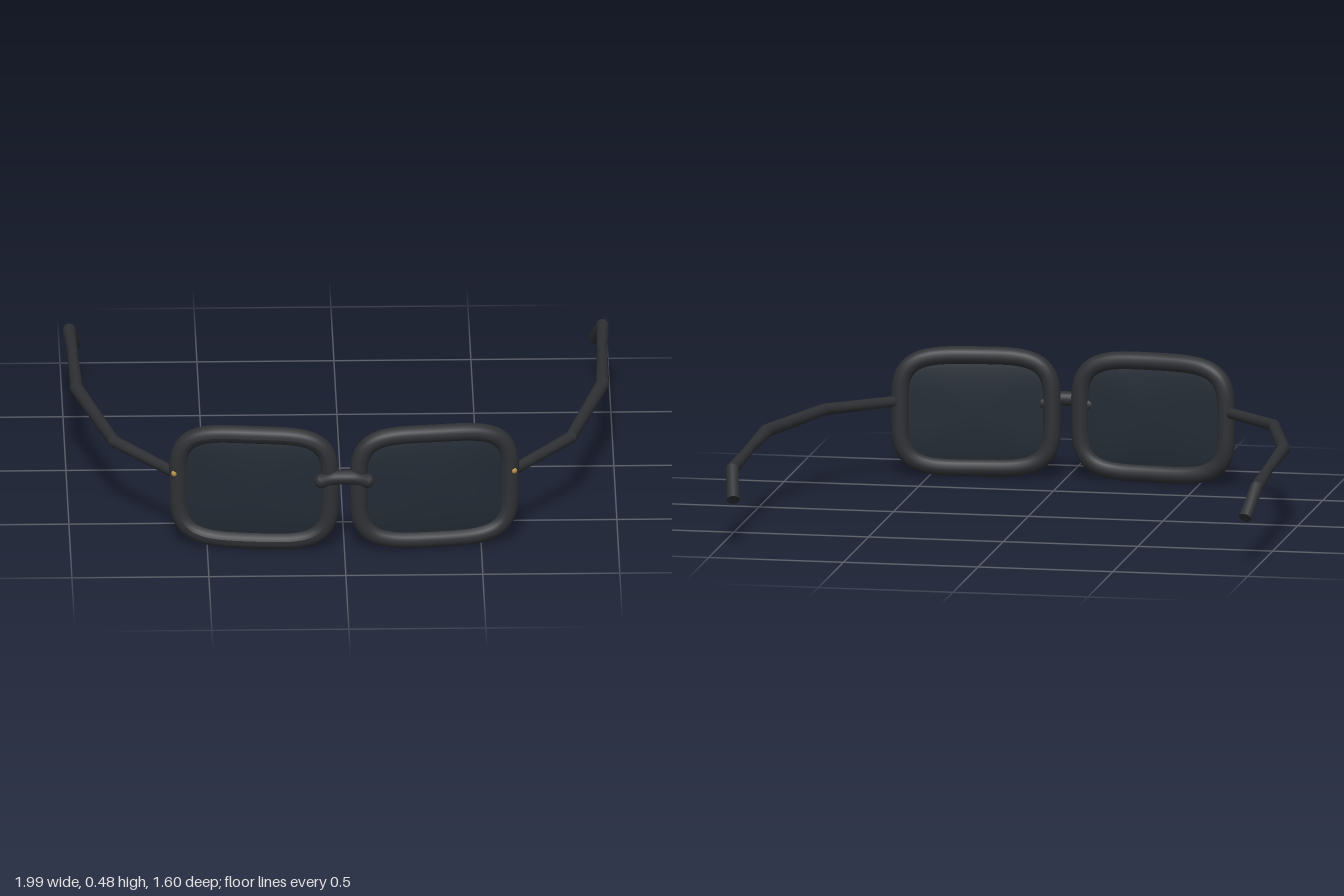
import * as THREE from 'three';

const frameMat = new THREE.MeshStandardMaterial({ color: 0x2e3034 });
const lensMat = new THREE.MeshStandardMaterial({ color: 0x222a34 });
const goldMat = new THREE.MeshStandardMaterial({ color: 0xb08a45 });

const CX = 0.329, CY = 0.243, HALF_W = 0.277, HALF_H = 0.208, RIM_R = 0.033;
const V = (x, y, z) => new THREE.Vector3(x, y, z);

// Wrap of the front around the face
const wrapZ = (x) => 0.754 - 0.17 * x * x;

// Point on (or, with rho < 1, inside) the rounded-rectangle outline of a lens
function outline(angle, rho = 1) {
  const c = Math.cos(angle), s = Math.sin(angle), n = 4;
  const r = rho / Math.pow(Math.abs(c) ** n + Math.abs(s) ** n, 1 / n);
  const x = CX + HALF_W * r * c;
  return V(x, CY + HALF_H * r * s, wrapZ(x));
}

function add(parent, name, geometry, material) {
  const mesh = new THREE.Mesh(geometry, material);
  mesh.name = name;
  parent.add(mesh);
  return mesh;
}

// Straight round segments with mitred joints; stations are [x, y, z, radius]
function mitredRod(stations, sides = 12) {
  const pts = stations.map((s) => V(s[0], s[1], s[2]));
  const dir = (i) => pts[i + 1].clone().sub(pts[i]).normalize();
  const last = pts.length - 1;
  const rings = pts.map((p, i) => {
    const a = dir(Math.max(i - 1, 0)), b = dir(Math.min(i, last - 1));
    const t = a.clone().add(b).normalize();
    const u = V(0, 1, 0).cross(t).normalize();
    const v = t.clone().cross(u);
    return Array.from({ length: sides }, (_, k) => {
      const w = (k / sides) * Math.PI * 2, r = stations[i][3];
      return p.clone().addScaledVector(u, r * Math.cos(w)).addScaledVector(v, r * Math.sin(w));
    });
  });
  const verts = [], index = [];
  for (let i = 0; i < last; i++) {
    const base = verts.length;
    verts.push(...rings[i], ...rings[i + 1]);
    for (let k = 0; k < sides; k++) {
      const a = base + k, b = base + ((k + 1) % sides);
      index.push(a, b, b + sides, a, b + sides, a + sides);
    }
  }
  // Flat end caps
  for (const end of [0, last]) {
    const base = verts.length;
    verts.push(...rings[end]);
    for (let k = 1; k < sides - 1; k++) {
      if (end) index.push(base, base + k, base + k + 1);
      else index.push(base, base + k + 1, base + k);
    }
  }
  const g = new THREE.BufferGeometry().setFromPoints(verts);
  g.setIndex(index);
  g.computeVertexNormals();
  return g;
}

// Thin biconvex lens: a sphere squashed into the outline and the wrap
function lensGeometry() {
  const g = new THREE.SphereGeometry(1, 64, 24).rotateX(Math.PI / 2);
  const pos = g.attributes.position;
  for (let i = 0; i < pos.count; i++) {
    const x = pos.getX(i), y = pos.getY(i);
    const p = outline(Math.atan2(y, x), Math.hypot(x, y));
    pos.setXYZ(i, p.x, p.y, p.z + 0.02 * pos.getZ(i));
  }
  g.computeVertexNormals();
  return g;
}

// Mirror a geometry across x = 0, keeping its faces outward
function mirrored(geometry) {
  const g = geometry.clone().scale(-1, 1, 1);
  const idx = g.index;
  for (let i = 0; i < idx.count; i += 3) {
    const a = idx.getX(i);
    idx.setX(i, idx.getX(i + 1));
    idx.setX(i + 1, a);
  }
  g.computeVertexNormals();
  return g;
}

export function createModel() {
  const model = new THREE.Group();
  model.name = 'glasses';

  // Rim, lens, temple arm and hinge screw, built for the left side
  const rimPath = new THREE.CatmullRomCurve3(
    Array.from({ length: 64 }, (_, i) => outline((i / 64) * Math.PI * 2)), true);
  const temple = mitredRod([
    [0.612, 0.28, 0.69, 0.02],
    [0.835, 0.293, 0.41, 0.022],
    [0.96, 0.299, -0.07, 0.025],
    [0.966, 0.288, -0.4, 0.019],
    [0.973, 0.272, -0.675, 0.024],
    [0.95, 0.177, -0.78, 0.024],
  ]);
  const parts = [
    ['Rim', new THREE.TubeGeometry(rimPath, 96, RIM_R, 16, true), frameMat],
    ['Lens', lensGeometry(), lensMat],
    ['Temple', temple, frameMat],
    ['HingeScrew', new THREE.SphereGeometry(0.012, 12, 8).translate(0.62, 0.292, 0.715), goldMat],
  ];
  for (const [name, geometry, material] of parts) {
    add(model, 'left' + name, geometry, material);
    add(model, 'right' + name, mirrored(geometry), material);
  }

  // Nose bridge with rounded ends
  const bridge = new THREE.Group();
  bridge.name = 'bridge';
  const bridgePath = new THREE.CatmullRomCurve3([
    V(-0.084, 0.278, 0.764), V(-0.04, 0.293, 0.771), V(0, 0.295, 0.772),
    V(0.04, 0.293, 0.771), V(0.084, 0.278, 0.764),
  ]);
  add(bridge, 'bridgeBar', new THREE.TubeGeometry(bridgePath, 24, 0.027, 12), frameMat);
  for (const s of [-1, 1]) {
    add(bridge, 'bridgeEnd', new THREE.SphereGeometry(0.027, 16, 12), frameMat)
      .position.set(s * 0.084, 0.278, 0.764);
  }
  model.add(bridge);
  return model;
}
